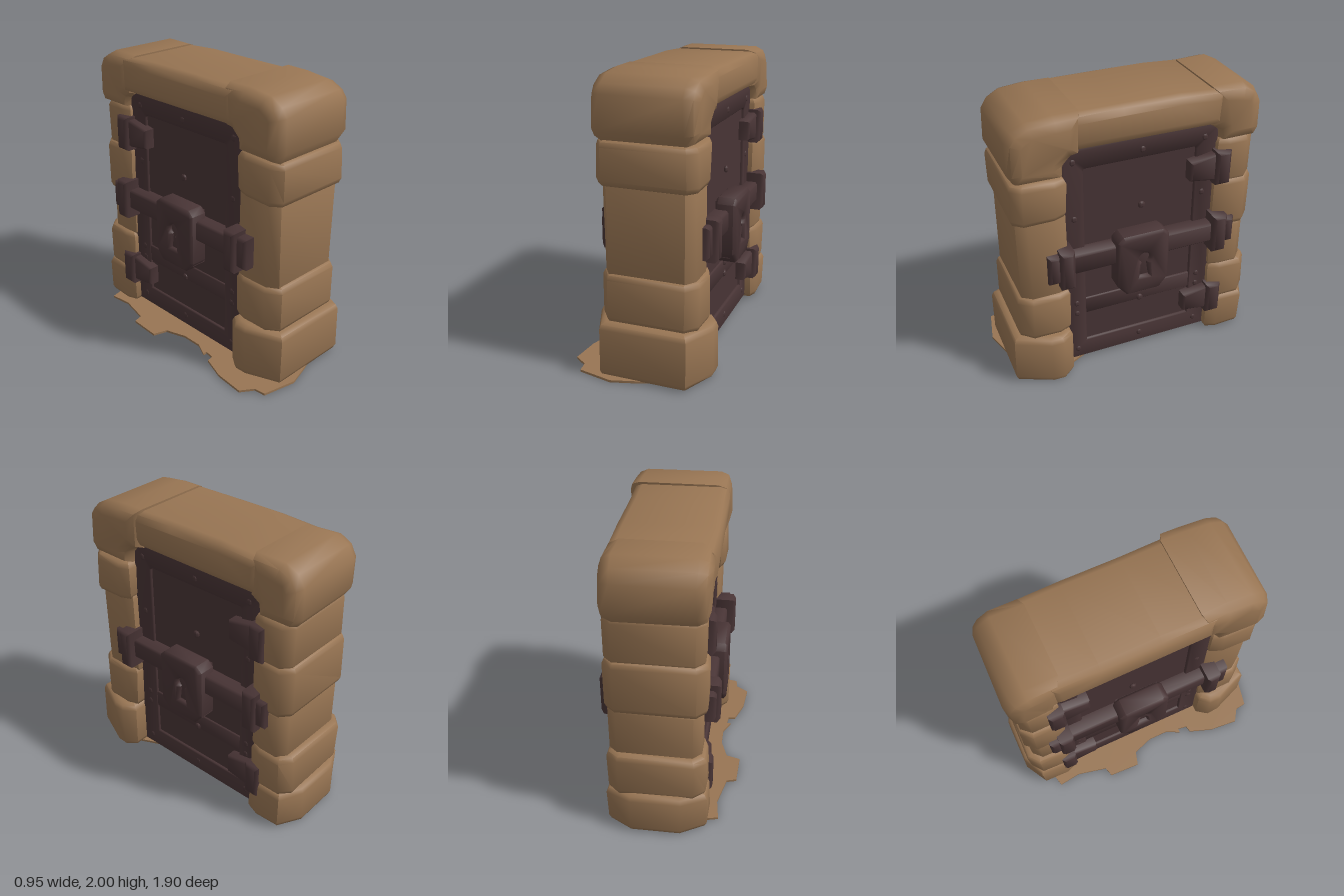
import * as THREE from 'three';
import { toCreasedNormals } from 'three/addons/utils/BufferGeometryUtils.js';

const CX = 0.05; // middle of the door's thickness

// Small wobble that depends only on position, so shared corners stay together
function wobble(geo, amount) {
  const p = geo.attributes.position;
  for (let i = 0; i < p.count; i++) {
    const x = p.getX(i), y = p.getY(i), z = p.getZ(i);
    p.setXYZ(i,
      x + amount * Math.sin(17 * y + 11 * z + 3 * x),
      Math.max(0, y + amount * Math.sin(13 * x + 9 * z)),
      z + amount * Math.sin(15 * y + 19 * x));
  }
  return geo;
}

function toShape(points) {
  return new THREE.Shape(points.map(([a, b]) => new THREE.Vector2(a, b)));
}

// Bevelled extrusion whose outline and depth are the final outer size
function bevelled(shape, depth, bevel, segments = 2) {
  return new THREE.ExtrudeGeometry(shape, {
    depth: depth - 2 * bevel, bevelEnabled: bevel > 0, bevelThickness: bevel,
    bevelSize: bevel, bevelOffset: -bevel, bevelSegments: segments, curveSegments: 6,
  }).translate(0, 0, bevel);
}

// Outline in (z, y), extruded from x0 to x1
function alongX(shape, x0, x1, bevel, segments) {
  return bevelled(shape, x1 - x0, bevel, segments).rotateY(-Math.PI / 2).translate(x1, 0, 0);
}

// Outline in (x, z), extruded from y0 to y1
function alongY(shape, y0, y1, bevel, segments) {
  return bevelled(shape, y1 - y0, bevel, segments).rotateX(Math.PI / 2).translate(0, y1, 0);
}

// Door outline with rounded upper corners
function doorOutline(z0, z1, y0, y1, r, path = new THREE.Shape()) {
  path.moveTo(z0, y0);
  path.lineTo(z1, y0);
  path.lineTo(z1, y1 - r);
  path.quadraticCurveTo(z1, y1, z1 - r, y1);
  path.lineTo(z0 + r, y1);
  path.quadraticCurveTo(z0, y1, z0, y1 - r);
  path.lineTo(z0, y0);
  return path;
}

export function createModel() {
  const model = new THREE.Group();
  model.name = 'stoneGateway';
  const stone = new THREE.MeshStandardMaterial({ color: 0x987553 });
  stone.name = 'sandstone';
  const iron = new THREE.MeshStandardMaterial({ color: 0x483435 });
  iron.name = 'darkIron';

  const add = (parent, name, geo, material, crease = 0.7) => {
    const mesh = new THREE.Mesh(toCreasedNormals(geo, crease), material);
    mesh.name = name;
    parent.add(mesh);
    return mesh;
  };

  // Pillar stones: [y0, y1, x0, x1, outer z, chamfer x, chamfer z, inner taper x]
  const pillars = {
    frontPillar: [0.49, [
      [0.00, 0.39, -0.33, 0.47, 0.90, 0.10, 0.24, 0.06],
      [0.37, 0.72, -0.26, 0.41, 0.85, 0.07, 0.09, 0.03],
      [0.66, 1.34, -0.24, 0.38, 0.82, 0.05, 0.07, 0.02],
      [1.29, 1.59, -0.27, 0.41, 0.85, 0.06, 0.07, 0.03],
    ]],
    backPillar: [-0.59, [
      [0.00, 0.31, -0.29, 0.39, -0.95, 0.17, 0.09, 0.03],
      [0.28, 0.61, -0.28, 0.38, -0.91, 0.08, 0.07, 0.03],
      [0.57, 0.97, -0.25, 0.365, -0.86, 0.06, 0.06, 0.02],
      [0.93, 1.32, -0.28, 0.38, -0.885, 0.07, 0.07, 0.03],
      [1.28, 1.63, -0.26, 0.37, -0.865, 0.06, 0.06, 0.02],
    ]],
  };
  for (const [name, [inner, stones]] of Object.entries(pillars)) {
    const pillar = new THREE.Group();
    pillar.name = name;
    model.add(pillar);
    const s = Math.sign(inner);
    for (const [y0, y1, x0, x1, z, cx, cz, t] of stones) {
      const shoulder = inner + s * 0.08;
      const outline = toShape([
        [x0 + t, inner], [x1 - t, inner], [x1, shoulder], [x1, z - s * cz],
        [x1 - cx, z], [x0 + cx, z], [x0, z - s * cz], [x0, shoulder],
      ]);
      add(pillar, 'pillarStone', wobble(alongY(outline, y0, y1, 0.045), 0.004), stone, 0.9);
    }
  }

  // Top corner stones and lintel
  add(model, 'frontCornerStone', wobble(alongX(toShape([
    [0.38, 1.72], [0.44, 1.71], [0.49, 1.66], [0.50, 1.58], [0.81, 1.58], [0.85, 1.65],
    [0.85, 1.87], [0.81, 1.93], [0.72, 1.98], [0.55, 1.995], [0.38, 1.995],
  ]), -0.29, 0.41, 0.08), 0.004), stone, 0.9);
  add(model, 'backCornerStone', wobble(alongX(toShape([
    [-0.54, 1.72], [-0.54, 1.99], [-0.76, 1.99], [-0.85, 1.94], [-0.90, 1.86],
    [-0.90, 1.66], [-0.86, 1.60], [-0.61, 1.60], [-0.60, 1.68],
  ]), -0.285, 0.38, 0.08), 0.004), stone, 0.9);
  add(model, 'lintel', wobble(alongX(toShape([
    [-0.62, 1.73], [0.48, 1.73], [0.48, 1.98], [0.1, 1.99], [-0.3, 1.985], [-0.62, 1.975],
  ]), -0.29, 0.375, 0.06), 0.004), stone, 0.9);

  // Rubble and sand spread along the ground
  add(model, 'groundRubble', alongY(toShape([
    [-0.36, -0.76], [-0.34, -0.60], [-0.39, -0.38], [-0.46, -0.36], [-0.47, -0.13],
    [-0.37, -0.10], [-0.32, 0.05], [-0.32, 0.20], [-0.37, 0.30], [-0.34, 0.30],
    [-0.35, 0.37], [-0.40, 0.38], [-0.46, 0.55], [-0.48, 0.76], [-0.39, 0.82],
    [-0.38, 0.90], [-0.14, 0.95], [0.03, 0.90], [0.30, 0.80], [0.36, 0.52],
    [0.28, 0.35], [0.12, -0.45], [0.12, -0.72], [-0.20, -0.80],
  ]), 0, 0.016, 0), stone);

  // Door slab set back between the stones
  add(model, 'doorSlab', alongX(doorOutline(-0.62, 0.52, 0.02, 1.75, 0.1), CX - 0.245, CX + 0.245, 0), iron);

  // Fittings on one face of the door, repeated on the other
  for (const side of [1, -1]) {
    const face = new THREE.Group();
    face.name = side > 0 ? 'leftDoorFace' : 'rightDoorFace';
    model.add(face);
    const fit = (name, shape, d0, d1, bevel = 0.015) => add(face, name, side > 0
      ? alongX(shape, CX + d0, CX + d1, bevel, 1)
      : alongX(shape, CX - d1, CX - d0, bevel, 1), iron, 0.9);
    const box = (name, z0, z1, y0, y1, d1, bevel) =>
      fit(name, toShape([[z0, y0], [z1, y0], [z1, y1], [z0, y1]]), 0.2, d1, bevel);

    // Raised border and cross rail
    const border = doorOutline(-0.61, 0.505, 0.02, 1.74, 0.1);
    border.holes.push(doorOutline(-0.45, 0.35, 0.17, 1.58, 0.02, new THREE.Path()));
    fit('doorBorder', border, 0.22, 0.265, 0.008);
    box('crossRail', -0.46, 0.36, 0.41, 0.54, 0.258, 0.006);

    // Rivets
    for (const y of [0.10, 0.43, 0.52, 1.22, 1.64]) {
      for (const z of [0.42, -0.06, -0.51]) {
        const rivet = add(face, 'rivet', new THREE.SphereGeometry(0.026, 7, 5), iron);
        rivet.scale.x = 0.6;
        rivet.position.set(CX + side * 0.258, y, z);
      }
    }

    // Locking bar and its end brackets
    box('lockBar', -0.6, 0.5, 0.84, 0.99, 0.35);
    box('frontBracket', 0.465, 0.565, 0.77, 1.06, 0.41, 0.02);
    box('frontBarEnd', 0.55, 0.64, 0.81, 1.03, 0.375, 0.02);
    box('backBracket', -0.665, -0.56, 0.77, 1.06, 0.395, 0.02);
    box('backBarEnd', -0.73, -0.65, 0.82, 1.02, 0.37, 0.02);

    // Lock plate with a keyhole cut through it
    const plate = toShape([
      [-0.15, 0.59], [0.09, 0.59], [0.16, 0.67], [0.16, 1.03], [0.12, 1.07],
      [-0.17, 1.07], [-0.215, 1.03], [-0.215, 0.67],
    ]);
    const keyhole = new THREE.Path();
    keyhole.moveTo(-0.07, 0.72);
    keyhole.lineTo(0, 0.72);
    keyhole.lineTo(-0.015, 0.83);
    keyhole.absarc(-0.035, 0.87, 0.042, -1.1, Math.PI + 1.1, false);
    keyhole.lineTo(-0.07, 0.72);
    plate.holes.push(keyhole);
    fit('lockPlate', plate, 0.25, 0.4, 0.018);
    box('lockBacking', -0.19, 0.13, 0.63, 1.04, 0.365, 0.01);

    // Hinges: tapered strap and knuckle
    for (const y of [0.31, 1.42]) {
      fit('hingeStrap', toShape([
        [-0.39, y - 0.07], [-0.60, y - 0.10], [-0.60, y + 0.11], [-0.39, y + 0.07],
      ]), 0.2, 0.325);
      box('hingeKnuckle', -0.68, -0.57, y - 0.125, y + 0.125, 0.355, 0.02);
    }
  }
  return model;
}
